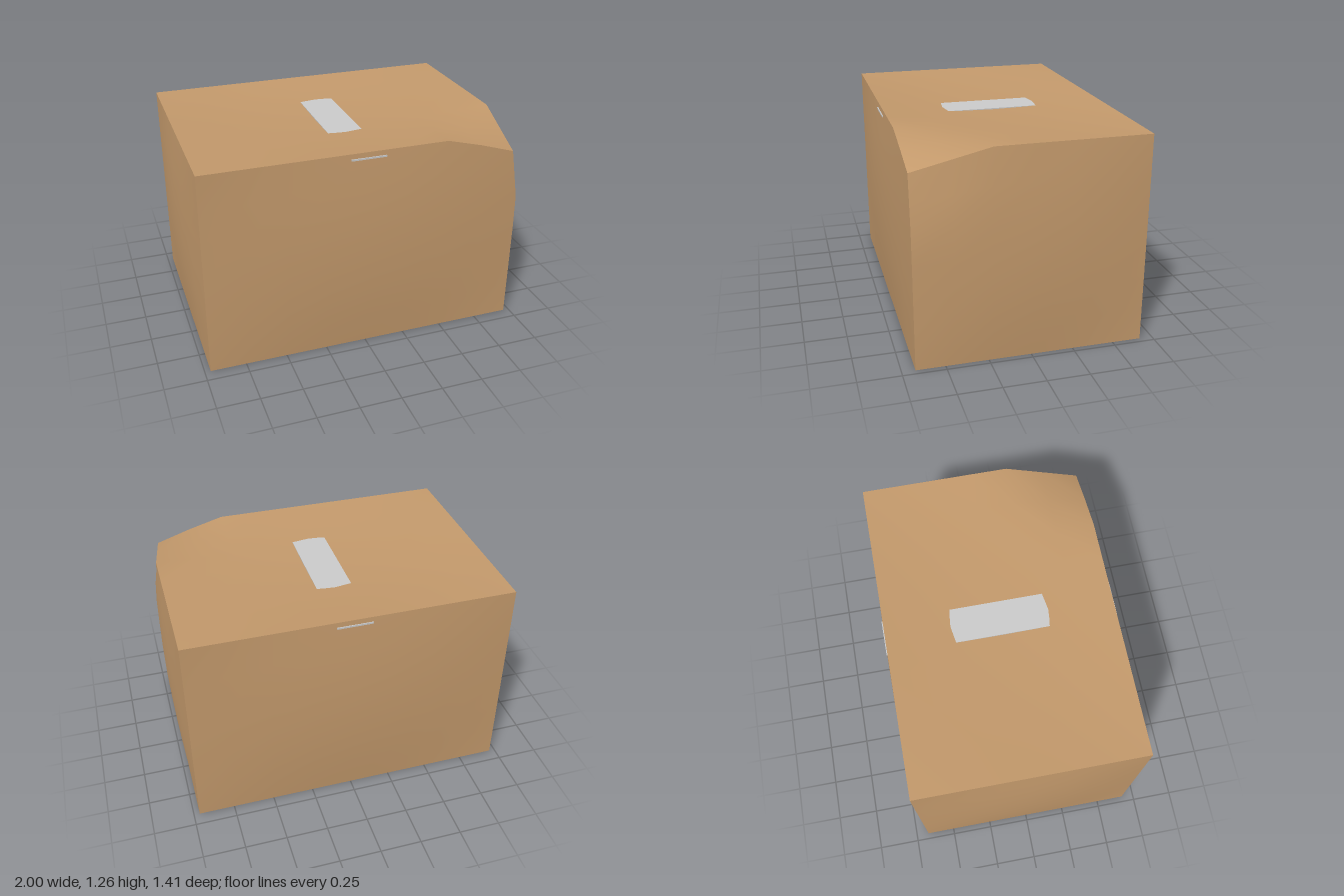
import * as THREE from 'three';

const W = 1.93, H = 1.26, D = 1.344;

// Box with bulging walls, a sagging lid and one crushed corner
function cartonGeometry() {
  const geo = new THREE.BoxGeometry(W, H, D, 8, 6, 6);
  const pos = geo.attributes.position, nor = geo.attributes.normal;
  const corner = new THREE.Vector3(W / 2, H / 2, D / 2);
  const crush = new THREE.Vector3(-0.055, -0.125, -0.003);
  const p = new THREE.Vector3(), n = new THREE.Vector3();
  for (let i = 0; i < pos.count; i++) {
    p.fromBufferAttribute(pos, i);
    n.fromBufferAttribute(nor, i);
    const fall = Math.max(0, 1 - p.distanceTo(corner) / 0.45);
    // 1 in the middle of a side, 0 along its edges
    const dome = (c, half) => 1 - (c / half) ** 2;
    const dx = dome(p.x, W / 2), dy = dome(p.y, H / 2), dz = dome(p.z, D / 2);
    if (Math.abs(n.x) > 0.5) p.x += n.x * 0.035 * dy * dz;
    else if (Math.abs(n.z) > 0.5) p.z += n.z * 0.032 * dx * dy;
    else if (n.y > 0.5) p.y -= 0.038 * dx * dz;
    p.addScaledVector(crush, fall);
    pos.setXYZ(i, p.x, p.y + H / 2, p.z);
  }
  geo.computeVertexNormals(); // sides share no vertices, so edges stay sharp
  return geo;
}

export function createModel() {
  const group = new THREE.Group();
  group.name = 'cardboardBox';

  const carton = new THREE.Mesh(
    cartonGeometry(),
    new THREE.MeshStandardMaterial({ color: 0xc49a6c })
  );
  carton.name = 'carton';
  group.add(carton);

  // Straight tape strip: shows where the lid sags and at the front and back walls
  const tape = new THREE.Mesh(
    new THREE.BoxGeometry(0.21, 0.01, 1.36),
    new THREE.MeshStandardMaterial({ color: 0xcccccc })
  );
  tape.name = 'tapeStrip';
  tape.position.y = 1.225;
  group.add(tape);

  return group;
}
